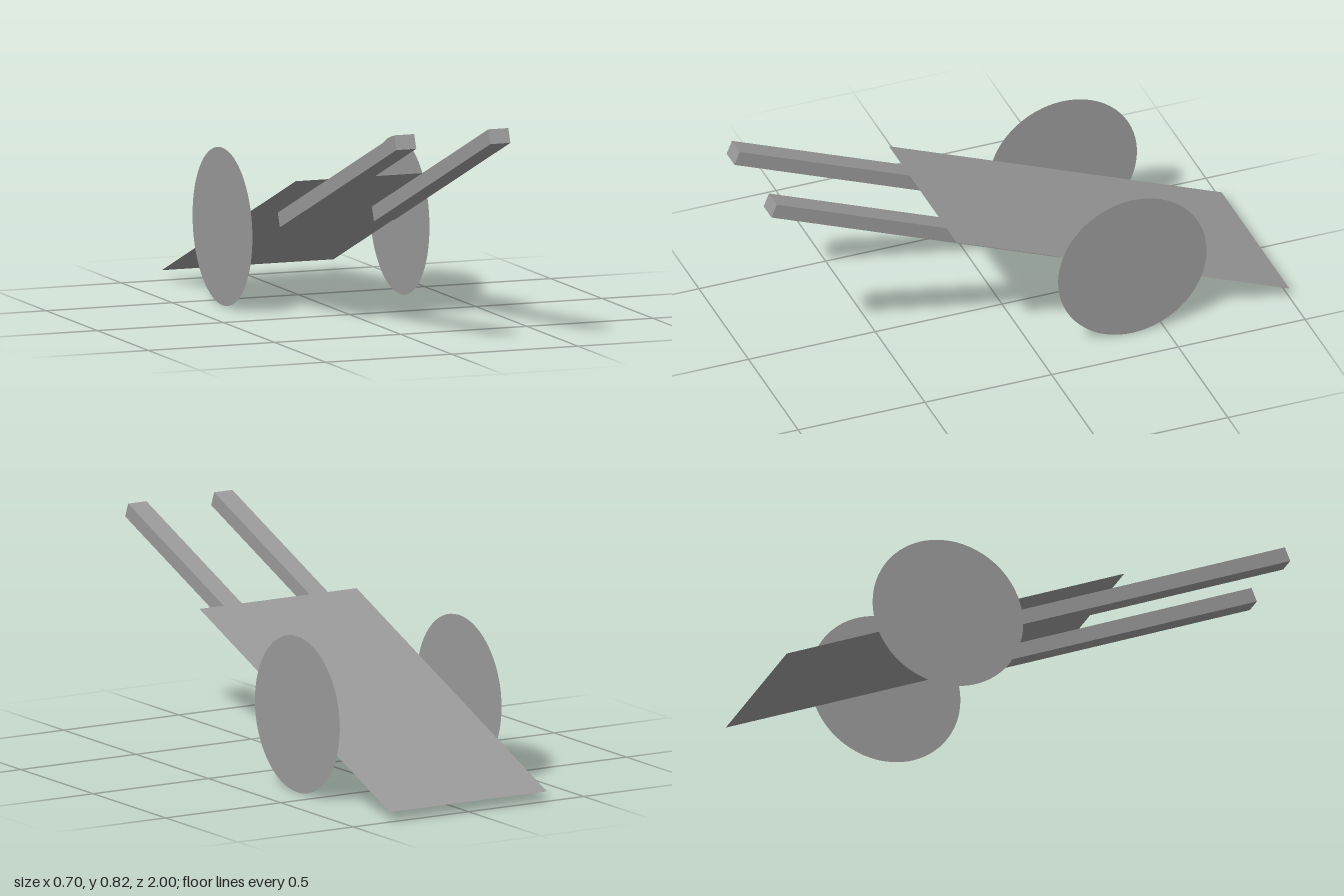
import * as THREE from 'three';

export function createModel() {
  const cart = new THREE.Group();
  cart.name = 'handcart';
  const solid = new THREE.MeshStandardMaterial({ color: 0x9a9a9a, flatShading: true });
  const sheet = new THREE.MeshStandardMaterial({ color: 0x9a9a9a, side: THREE.DoubleSide });
  const tilt = Math.atan2(0.525, 1.313);

  const add = (name, geometry, material, x, y, z) => {
    const mesh = new THREE.Mesh(geometry, material);
    mesh.name = name;
    mesh.position.set(x, y, z);
    cart.add(mesh);
    return mesh;
  };

  // Thin sloping bed, rising toward the handles
  const bed = new THREE.PlaneGeometry(0.682, Math.hypot(0.525, 1.313)).rotateX(-Math.PI / 2);
  add('bed', bed, sheet, 0.001, 0.302, -0.3435).rotation.x = -tilt;

  // Two square handle bars under the bed
  const bar = new THREE.BoxGeometry(0.079, 0.056, 1.228);
  for (const [name, x] of [['leftHandle', 0.193], ['rightHandle', -0.18]]) {
    add(name, bar, solid, x, 0.5725, 0.42).rotation.x = -tilt;
  }

  // Flat disc wheels
  const disc = new THREE.CircleGeometry(0.293, 64);
  for (const [name, x] of [['leftWheel', 0.351], ['rightWheel', -0.351]]) {
    add(name, disc, sheet, x, 0.295, -0.377).rotation.y = Math.sign(x) * Math.PI / 2;
  }
  return cart;
}
